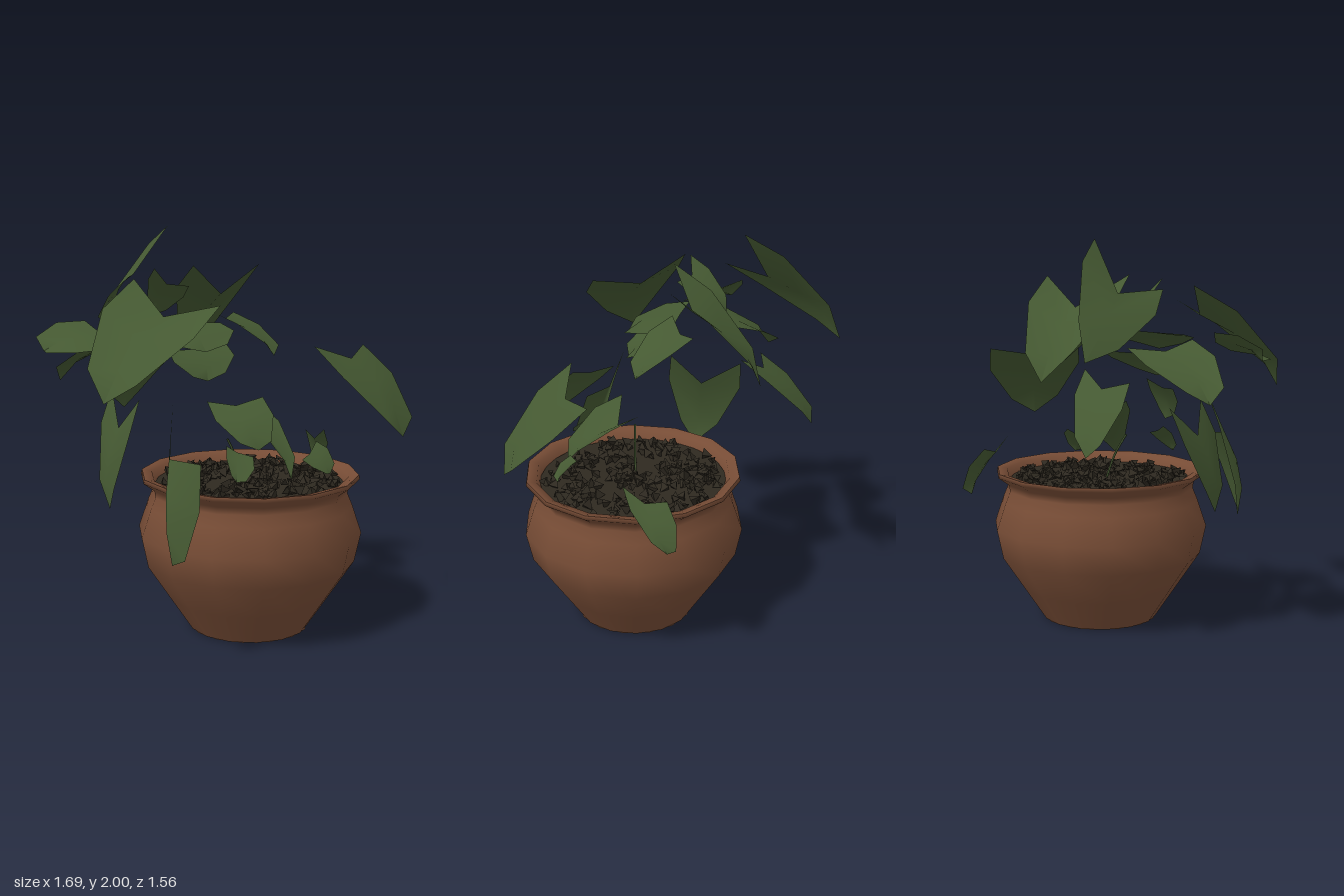
import * as THREE from 'three';

const v = (a) => new THREE.Vector3(...a);

// Heart-shaped leaf spanned by its notch, tip and the tops of its two lobes, arched upward
function leafGeometry(notch, tip, lobeA, lobeB) {
  const N = v(notch), T = v(tip), d = T.clone().sub(N);
  const up = v(lobeA).sub(T).cross(v(lobeB).sub(T)).normalize();
  const flipped = up.y > 0;
  if (!flipped) up.negate();
  const along = (p, k) => p.clone().addScaledVector(d, k);
  const side = (lobe) => {
    const L = v(lobe);
    const out = L.clone().sub(N);
    out.addScaledVector(d, -out.dot(d) / d.lengthSq());
    return [
      L,
      along(L, 0.45).addScaledVector(out, 0.04),
      along(L, 0.88).lerp(T, 0.45),
      T,
    ];
  };
  const mid = [N, along(N, 0.35), along(N, 0.7), T];
  const arch = [0, 0.09, 0.1, 0].map((k) => k * d.length());
  const columns = [side(lobeA), mid, side(lobeB)];
  const pos = [], index = [];
  for (const col of columns) {
    col.forEach((p, r) => pos.push(...p.clone().addScaledVector(up, arch[r]).toArray()));
  }
  for (let c = 0; c < 2; c++) {
    for (let r = 0; r < 3; r++) {
      const a = c * 4 + r, b = a + 4;
      index.push(a, a + 1, b);
      if (r < 2) index.push(b, a + 1, b + 1);
    }
  }
  // Keep the upper face as the front
  if (flipped) index.reverse();
  const g = new THREE.BufferGeometry();
  g.setAttribute('position', new THREE.Float32BufferAttribute(pos, 3));
  g.setIndex(index);
  g.computeVertexNormals();
  return g;
}

export function createModel() {
  const group = new THREE.Group();
  const material = (name, color) => {
    const m = new THREE.MeshStandardMaterial({ color, side: THREE.DoubleSide });
    m.name = name;
    return m;
  };
  const clay = material('terracotta', 0x784d36);
  const green = material('leaf green', 0x455932);
  const earth = material('dark soil', 0x2e2920);
  const add = (name, geometry, mat, parent = group) => {
    const mesh = new THREE.Mesh(geometry, mat);
    mesh.name = name;
    parent.add(mesh);
    return mesh;
  };

  // Pot with a flared lip, open at the top
  const pot = new THREE.Group();
  pot.name = 'pot';
  pot.position.set(0.11, 0, 0.225);
  group.add(pot);
  const wall = [[0.3, 0.005], [0.41, 0.17], [0.53, 0.35], [0.562, 0.5], [0.515, 0.64],
    [0.49, 0.7], [0.495, 0.735], [0.55, 0.775], [0.545, 0.795]];
  const lip = [[0.545, 0.795], [0.495, 0.785], [0.475, 0.73]];
  const lathe = (pts) => new THREE.LatheGeometry(pts.map((p) => new THREE.Vector2(...p)), 14);
  add('potWall', lathe(wall), clay, pot);
  add('potLip', lathe(lip), clay, pot);
  add('potBase', new THREE.CircleGeometry(0.3, 14).rotateX(Math.PI / 2).translate(0, 0.005, 0), clay, pot);

  // Soil with scattered crumbs
  add('soil', new THREE.CircleGeometry(0.48, 14).rotateX(-Math.PI / 2).translate(0, 0.745, 0), earth, pot);
  let seed = 7;
  const rand = () => (seed = (seed * 16807) % 2147483647) / 2147483647;
  const crumb = new THREE.TetrahedronGeometry(0.032);
  for (let i = 0; i < 260; i++) {
    const r = 0.45 * Math.sqrt(rand()), a = rand() * Math.PI * 2;
    const m = add('soilCrumb', crumb, earth, pot);
    m.position.set(r * Math.cos(a), 0.752 + rand() * 0.02, r * Math.sin(a));
    m.rotation.set(rand() * 6, rand() * 6, rand() * 6);
    m.scale.setScalar(0.6 + rand() * 0.6);
  }

  // Short bare shoot
  const shoot = new THREE.CatmullRomCurve3([v([0.07, 0.75, 0.22]), v([0.03, 0.87, 0.23]), v([-0.03, 0.98, 0.24])]);
  add('shoot', new THREE.TubeGeometry(shoot, 6, 0.006, 5), green);

  // Leaves: notch, tip, first lobe, second lobe
  const leaves = {
    topBackLeaf: [[-0.2, 1.75, -0.4], [-0.17, 1.46, -0.77], [-0.05, 2.0, -0.3], [-0.35, 1.76, -0.17]],
    backLeaf: [[0.13, 1.66, -0.08], [0.18, 1.32, -0.42], [-0.11, 1.82, 0.05], [0.31, 1.81, 0.0]],
    innerRightLeaf: [[0.12, 1.54, -0.02], [0.29, 1.36, 0.17], [0.0, 1.59, 0.04], [0.22, 1.56, -0.1]],
    lowBackLeaf: [[-0.12, 1.3, -0.4], [-0.13, 1.01, -0.65], [-0.25, 1.33, -0.37], [0, 1.38, -0.3]],
    backLeftLeaf: [[-0.35, 1.46, -0.12], [-0.64, 1.24, -0.37], [-0.45, 1.51, 0.0], [-0.19, 1.48, -0.23]],
    bigFrontLeftLeaf: [[-0.41, 1.61, 0.28], [-0.79, 1.25, 0.4], [-0.44, 1.77, 0.05], [-0.23, 1.67, 0.49]],
    farLeftLeaf: [[-0.57, 1.5, -0.02], [-0.83, 1.43, -0.14], [-0.6, 1.56, -0.16], [-0.62, 1.45, 0.1]],
    hangingFrontLeaf: [[-0.5, 0.98, 0.48], [-0.55, 0.51, 0.59], [-0.42, 1.22, 0.38], [-0.39, 0.96, 0.58]],
    hangingLeftLeaf: [[-0.49, 1.04, -0.03], [-0.57, 0.65, 0.02], [-0.41, 1.2, -0.25], [-0.46, 1.2, 0.13]],
    innerLeftLeaf: [[-0.17, 1.54, 0.03], [-0.19, 1.43, 0.3], [-0.4, 1.53, 0.02], [0.05, 1.53, 0.04]],
    innerLowLeaf: [[-0.13, 1.42, 0.12], [-0.18, 1.29, 0.3], [-0.32, 1.43, 0.17], [0.05, 1.43, 0.1]],
    upperMiddleLeaf: [[-0.22, 1.73, -0.02], [-0.2, 1.56, -0.2], [-0.3, 1.81, 0.0], [-0.13, 1.72, 0.04]],
    frontLeaf: [[-0.15, 1.2, 0.5], [-0.12, 1.01, 0.65], [-0.24, 1.21, 0.39], [-0.04, 1.24, 0.56]],
    lowFrontLeaf: [[0.1, 1.03, 0.3], [0.13, 0.82, 0.56], [-0.01, 1.15, 0.3], [0.2, 1.13, 0.17]],
    bigFrontRightLeaf: [[0.57, 1.36, 0.44], [0.68, 1.0, 0.72], [0.32, 1.44, 0.47], [0.76, 1.4, 0.29]],
    hangingRightLeaf: [[0.63, 0.88, 0.06], [0.72, 0.67, -0.06], [0.61, 0.95, 0.17], [0.65, 0.91, -0.05]],
    smallRightLeaf: [[0.3, 0.91, 0.47], [0.37, 0.82, 0.55], [0.22, 0.9, 0.52], [0.37, 0.96, 0.43]],
    smallLeftLeaf: [[-0.13, 0.97, 0.48], [-0.19, 0.85, 0.57], [-0.17, 1.0, 0.45], [-0.07, 0.95, 0.53]],
  };
  for (const [name, pts] of Object.entries(leaves)) add(name, leafGeometry(...pts), green);

  return group;
}
